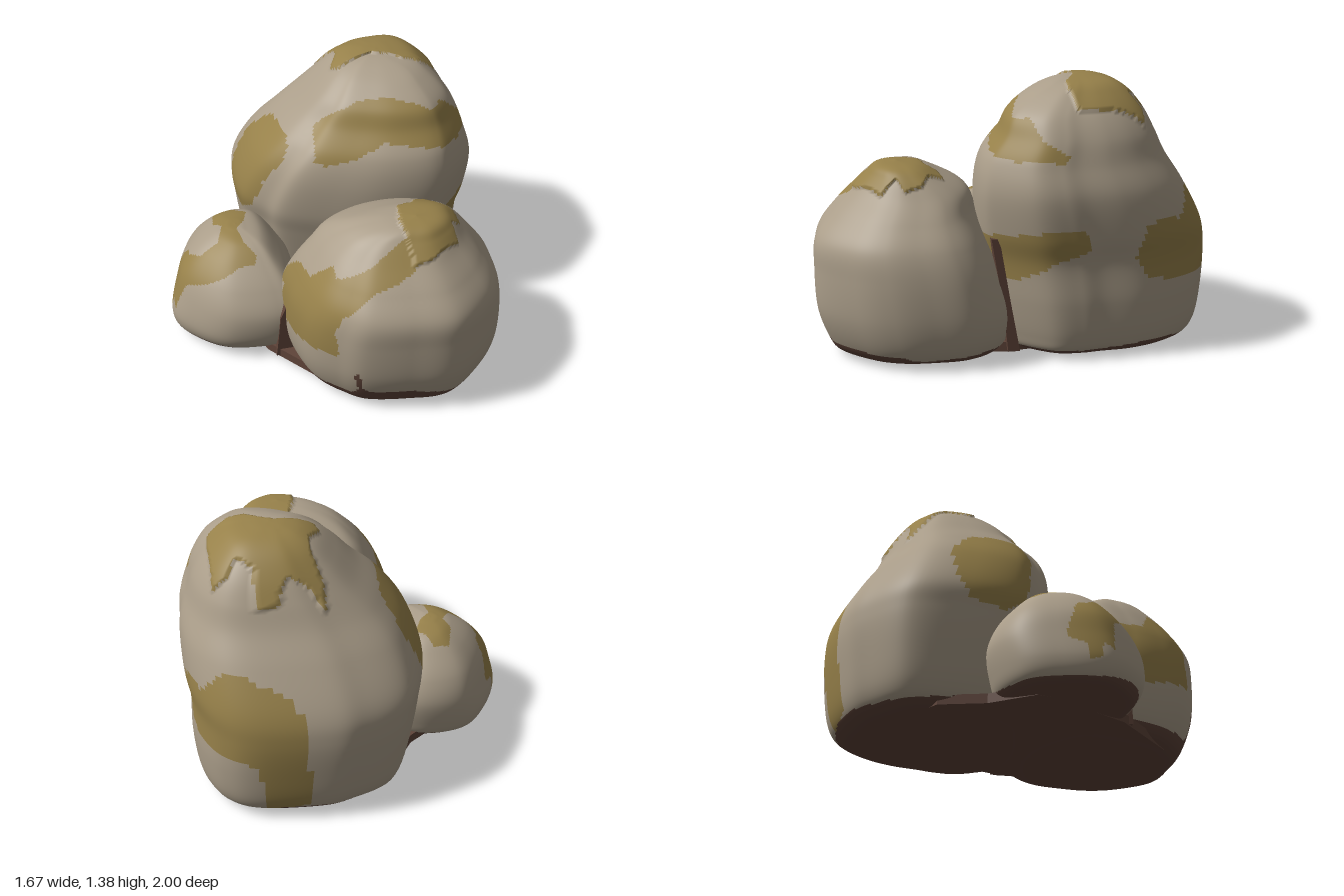
import * as THREE from 'three';

const rock = new THREE.MeshStandardMaterial({ color: 0xab9e8a });
const moss = new THREE.MeshStandardMaterial({ color: 0x97814a });
const soil = new THREE.MeshStandardMaterial({ color: 0x5f4439 });
rock.name = 'rock';
moss.name = 'moss';
soil.name = 'soil';

const SIDES = 170, RINGS = 126;

// Even-odd test against a flat list of u, v pairs
function inside(pts, u, v) {
  let hit = false;
  for (let i = 0, j = pts.length - 2; i < pts.length; j = i, i += 2) {
    const [ui, vi, uj, vj] = [pts[i], pts[i + 1], pts[j], pts[j + 1]];
    if ((vi > v) !== (vj > v) && u < ((uj - ui) * (v - vi)) / (vj - vi) + ui) hit = !hit;
  }
  return hit;
}

// A patch is an outline projected from the top, front or right, or wrapped as (degrees, height)
function covers(patch, p, n, c) {
  const { from, pts } = patch;
  if (from === 'top') return n.y > 0.2 && inside(pts, p.x, p.z);
  if (from === 'front') return n.z > 0 && inside(pts, p.x, p.y);
  if (from === 'right') return n.x > 0 && inside(pts, p.z, p.y);
  const deg = THREE.MathUtils.radToDeg(Math.atan2(p.z - c[1], p.x - c[0]));
  return inside(pts, deg, p.y) || inside(pts, deg + 360, p.y);
}

// Boulder: one plan outline fitted to a stack of boxes [y, x0, x1, z0, z1]
function boulder(name, { center, outline, layers, mossPatches, soilPatches = [], cap }) {
  const plan = new THREE.CatmullRomCurve3(
    outline.map(([x, z]) => new THREE.Vector3(x, 0, z)), true, 'catmullrom', 0.5);
  const loop = Array.from({ length: SIDES }, (_, i) => plan.getPoint(i / SIDES));
  const box = new THREE.Box3().setFromPoints(loop);
  const size = box.getSize(new THREE.Vector3());
  const curve = (a, b) => new THREE.CatmullRomCurve3(
    layers.map((l) => new THREE.Vector3(l[a], l[b], l[0])), false, 'catmullrom', 0.5);
  const xs = curve(1, 2), zs = curve(3, 4);

  const pos = [];
  for (let j = 0; j <= RINGS; j++) {
    const X = xs.getPoint(j / RINGS), Z = zs.getPoint(j / RINGS);
    for (const q of loop) {
      pos.push(
        X.x + ((q.x - box.min.x) / size.x) * (X.y - X.x), X.z,
        Z.x + ((q.z - box.min.z) / size.z) * (Z.y - Z.x));
    }
  }
  const quads = [];
  for (let j = 0; j < RINGS; j++) {
    for (let i = 0; i < SIDES; i++) {
      const k = (i + 1) % SIDES;
      const a = j * SIDES + i, d = j * SIDES + k, b = a + SIDES, c = d + SIDES;
      quads.push([a, b, d, b, c, d]);
    }
  }
  const geo = new THREE.BufferGeometry();
  const P = new THREE.Float32BufferAttribute(pos, 3);
  geo.setAttribute('position', P);
  geo.setIndex(quads.flat());
  geo.computeVertexNormals();

  // Sort the faces into rock, moss and soil
  const N = geo.attributes.normal;
  const p = new THREE.Vector3(), n = new THREE.Vector3(), t = new THREE.Vector3();
  const lists = [[], [], []];
  for (const f of quads) {
    p.set(0, 0, 0);
    n.set(0, 0, 0);
    for (const v of f) {
      p.addScaledVector(t.fromBufferAttribute(P, v), 1 / 6);
      n.addScaledVector(t.fromBufferAttribute(N, v), 1 / 6);
    }
    const hit = (patch) => covers(patch, p, n, center);
    const edge = 0.063 + 0.014 * Math.sin(p.x * 9 + p.z * 7);
    const kind = p.y < edge || soilPatches.some(hit) ? 2 : mossPatches.some(hit) ? 1 : 0;
    lists[kind].push(...f);
  }

  // Swell the moss cap a little
  for (let v = 0; cap && v < P.count; v++) {
    p.fromBufferAttribute(P, v);
    n.fromBufferAttribute(N, v);
    if (!covers(cap, p, n, center)) continue;
    p.addScaledVector(n, 0.012);
    P.setXYZ(v, p.x, p.y, p.z);
  }
  geo.setIndex(lists.flat());
  let start = 0;
  lists.forEach((l, m) => {
    geo.addGroup(start, l.length, m);
    start += l.length;
  });
  geo.computeVertexNormals();
  const mesh = new THREE.Mesh(geo, [rock, moss, soil]);
  mesh.name = name;
  return mesh;
}

// Soil packed between the boulders, extruded from a flat outline
function soilPrism(name, points, depth) {
  const shape = new THREE.Shape(points.map(([u, v]) => new THREE.Vector2(u, v)));
  const mesh = new THREE.Mesh(new THREE.ExtrudeGeometry(shape, { depth, bevelEnabled: false }), soil);
  mesh.name = name;
  return mesh;
}

// Moss on the tall boulder
const tallCap = { from: 'top', pts: [0.09, -0.68, 0.17, -0.63, 0.28, -0.62, 0.32, -0.7, 0.43, -0.71,
  0.44, -0.6, 0.52, -0.55, 0.56, -0.61, 0.63, -0.61, 0.64, -0.5, 0.66, -0.38, 0.66, -0.26, 0.56, -0.24,
  0.48, -0.25, 0.42, -0.29, 0.33, -0.32, 0.15, -0.28, 0.115, -0.32, 0.17, -0.42, 0.16, -0.5, 0.1, -0.59] };
const tallBand = { from: 'front', pts: [-0.03, 1.1, -0.05, 0.97, 0, 0.96, 0.15, 1.0, 0.3, 1.08, 0.5, 1.05,
  0.7, 1.02, 0.78, 1.03, 0.74, 1.1, 0.62, 1.18, 0.5, 1.24, 0.35, 1.27, 0.2, 1.25, 0.1, 1.2] };
const tallBandEnd = { from: 'right', pts: [0.08, 1.03, -0.18, 1.02, -0.2, 1.05, -0.08, 1.12, -0.03, 1.22, 0.06, 1.2] };
const tallLeft = { from: 'around', pts: [198, 0.85, 188, 0.98, 178, 1.02, 150, 1.03, 143, 1.0, 143, 0.92,
  152, 0.78, 158, 0.6, 170, 0.52, 188, 0.55, 195, 0.7] };
const tallBack = { from: 'around', pts: [-14, 0.53, -18, 0.68, -25, 0.72, -38, 0.7, -48, 0.82, -62, 0.82,
  -85, 0.72, -93, 0.6, -93, 0.1, -72, 0.05, -70, 0.35, -60, 0.4, -40, 0.38, -20, 0.42] };
const tallRight = { from: 'right', pts: [0.2, 0.36, 0.2, 0.63, 0.1, 0.65, -0.05, 0.68, -0.25, 0.7, -0.3, 0.65,
  -0.3, 0.58, -0.15, 0.53, 0, 0.43] };

// Moss and soil on the front boulder
const frontCap = { from: 'top', pts: [0.27, 0.45, 0.35, 0.44, 0.37, 0.38, 0.44, 0.36, 0.48, 0.44, 0.55, 0.48,
  0.56, 0.57, 0.5, 0.6, 0.52, 0.68, 0.45, 0.72, 0.36, 0.78, 0.27, 0.79, 0.25, 0.66, 0.24, 0.6] };
const frontSide = { from: 'top', pts: [-0.34, 0.18, -0.28, 0.22, -0.22, 0.4, -0.2, 0.55, -0.1, 0.63,
  -0.1, 0.76, -0.22, 0.72, -0.27, 0.62, -0.34, 0.45] };
const frontDrape = { from: 'front', pts: [0.3, 0.93, 0.23, 0.92, 0.14, 0.87, 0.01, 0.79, -0.1, 0.74,
  -0.17, 0.65, -0.24, 0.56, -0.33, 0.45, -0.33, 0.26, -0.25, 0.34, -0.12, 0.37, -0.14, 0.51, -0.1, 0.6,
  0.05, 0.73, 0.18, 0.77, 0.27, 0.81] };
const frontSoil = { from: 'front', pts: [-0.06, 0.27, -0.03, 0.29, -0.02, 0.18, 0.03, 0.14, 0.25, 0.135,
  0.45, 0.09, 0.74, 0.08, 0.74, 0, -0.3, 0, -0.3, 0.09, -0.05, 0.11, -0.03, 0.16] };

// Moss on the small boulder
const smallTop = { from: 'top', pts: [-0.56, -0.22, -0.48, -0.24, -0.44, -0.18, -0.39, -0.15, -0.42, -0.06,
  -0.47, 0, -0.45, 0.1, -0.41, 0.16, -0.6, 0.18, -0.72, 0.13, -0.83, 0.08, -0.82, -0.1, -0.78, -0.16,
  -0.72, 0, -0.68, 0.06, -0.58, 0.05, -0.54, -0.05, -0.58, -0.1] };
const smallFront = { from: 'front', pts: [-0.82, 0.33, -0.65, 0.42, -0.5, 0.5, -0.41, 0.51, -0.4, 0.54,
  -0.5, 0.57, -0.62, 0.52, -0.78, 0.41] };
const smallSide = { from: 'around', pts: [172, 0.45, 172, 0.36, 178, 0.14, 188, 0.12, 192, 0.3, 200, 0.42, 194, 0.46] };

export function createModel() {
  const group = new THREE.Group();
  group.name = 'boulderCluster';
  group.add(
    boulder('tallBoulder', {
      center: [0.21, -0.4],
      outline: [[0.08, -0.99], [0.44, -1], [0.63, -0.92], [0.75, -0.75], [0.81, -0.55], [0.82, -0.35],
        [0.83, -0.22], [0.8, -0.05], [0.65, 0.13], [0.55, 0.19], [0.4, 0.2], [0.2, 0.17], [0, 0.1],
        [-0.22, 0], [-0.3, -0.1], [-0.4, -0.25], [-0.41, -0.5], [-0.33, -0.78], [-0.1, -0.93]],
      layers: [[0.01, 0.2, 0.2, -0.4, -0.4], [0.015, -0.16, 0.62, -0.78, -0.05], [0.04, -0.27, 0.73, -0.9, 0.05],
        [0.12, -0.32, 0.77, -0.96, 0.08], [0.3, -0.36, 0.79, -0.99, 0.12], [0.5, -0.39, 0.79, -1, 0.16],
        [0.65, -0.4, 0.82, -0.97, 0.19], [0.85, -0.32, 0.83, -0.86, 0.2], [1.0, -0.2, 0.79, -0.76, 0.17],
        [1.12, -0.07, 0.75, -0.7, 0.09], [1.22, 0.03, 0.69, -0.64, 0.04], [1.3, 0.12, 0.61, -0.57, -0.07],
        [1.345, 0.2, 0.54, -0.5, -0.17], [1.365, 0.28, 0.44, -0.42, -0.25], [1.37, 0.36, 0.36, -0.34, -0.34]],
      mossPatches: [tallCap, tallBand, tallBandEnd, tallLeft, tallBack, tallRight], cap: tallCap,
    }),
    boulder('frontBoulder', {
      center: [0.25, 0.5],
      outline: [[0.66, 0.12], [0.79, 0.28], [0.8, 0.48], [0.77, 0.66], [0.67, 0.82], [0.45, 0.98], [0.2, 0.97],
        [-0.03, 0.92], [-0.15, 0.83], [-0.24, 0.73], [-0.29, 0.61], [-0.32, 0.42], [-0.29, 0.18], [0, 0.02], [0.35, 0]],
      layers: [[0.004, 0.25, 0.25, 0.5, 0.5], [0.008, -0.05, 0.56, 0.22, 0.79], [0.03, -0.2, 0.71, 0.04, 0.89],
        [0.1, -0.27, 0.78, -0.02, 0.94], [0.25, -0.3, 0.81, -0.03, 0.99], [0.45, -0.29, 0.8, 0.03, 1],
        [0.6, -0.24, 0.76, 0.1, 0.99], [0.72, -0.17, 0.68, 0.17, 0.9], [0.82, -0.09, 0.6, 0.22, 0.8],
        [0.9, 0.02, 0.53, 0.36, 0.72], [0.945, 0.16, 0.46, 0.46, 0.67], [0.96, 0.33, 0.33, 0.58, 0.58]],
      mossPatches: [frontCap, frontSide, frontDrape], soilPatches: [frontSoil], cap: frontCap,
    }),
    boulder('smallBoulder', {
      center: [-0.5, 0],
      outline: [[-0.65, -0.36], [-0.4, -0.41], [-0.2, -0.3], [-0.15, 0], [-0.2, 0.35], [-0.32, 0.41],
        [-0.58, 0.37], [-0.75, 0.23], [-0.84, 0.05], [-0.78, -0.18]],
      layers: [[0.02, -0.5, -0.5, 0, 0], [0.025, -0.72, -0.26, -0.25, 0.25], [0.05, -0.81, -0.19, -0.34, 0.34],
        [0.14, -0.84, -0.17, -0.38, 0.39], [0.28, -0.81, -0.17, -0.4, 0.39], [0.4, -0.77, -0.2, -0.36, 0.32],
        [0.5, -0.69, -0.27, -0.28, 0.22], [0.57, -0.59, -0.34, -0.2, 0.12], [0.595, -0.52, -0.42, -0.1, 0.02],
        [0.6, -0.47, -0.47, -0.04, -0.04]],
      mossPatches: [smallTop, smallFront, smallSide],
    }),
  );

  // Flat bed joining the undersides
  const bed = soilPrism('soilBed', [[-0.55, 0.12], [-0.38, -0.34], [-0.1, -0.7], [0.5, -0.6], [0.6, -0.07],
    [0.5, 0.6], [0, 0.7], [-0.25, 0.6], [-0.36, 0.38], [-0.55, 0.2]].reverse(), 0.05);
  bed.rotation.x = -Math.PI / 2;
  bed.position.y = 0.021;

  // Soil rising in the clefts
  const rightCleft = soilPrism('rightSoilCleft',
    [[-0.01, 0.03], [-0.07, 0.03], [-0.1, 0.3], [-0.155, 0.62], [-0.115, 0.62], [-0.06, 0.3]], 0.43);
  rightCleft.rotation.y = Math.PI / 2;
  rightCleft.position.x = 0.2;
  const leftCleft = soilPrism('leftSoilCleft',
    [[-0.35, 0.03], [-0.25, 0.03], [-0.27, 0.25], [-0.29, 0.36], [-0.325, 0.28], [-0.34, 0.12]], 0.32);
  leftCleft.position.z = 0.085;
  group.add(bed, rightCleft, leftCleft);
  return group;
}
